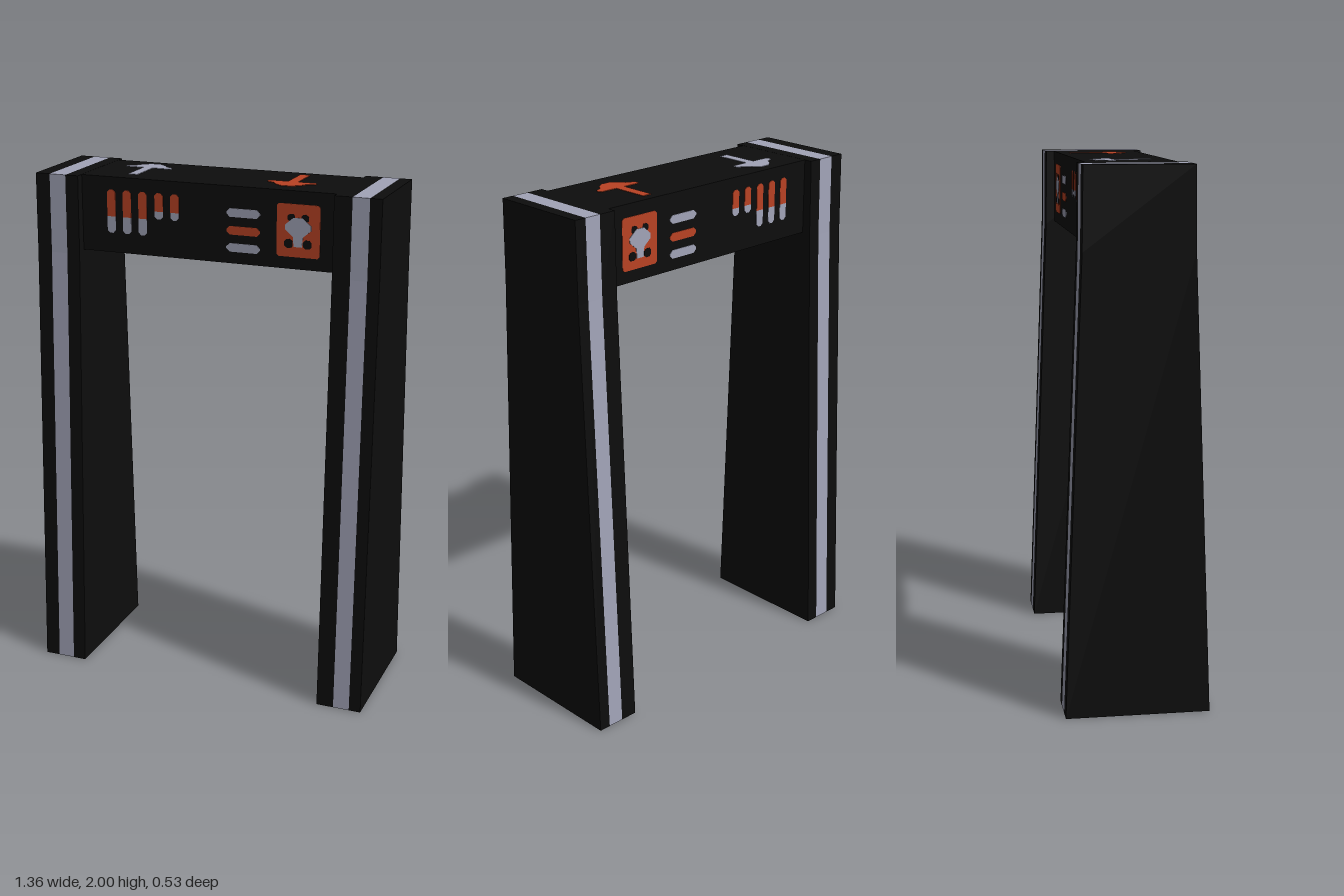
import * as THREE from 'three';

const mat = (name, color) => {
  const m = new THREE.MeshStandardMaterial({ color });
  m.name = name;
  return m;
};

export function createModel() {
  const black = mat('black casing', 0x0d0d0d);
  const silver = mat('silver', 0xa2a4b8);
  const orange = mat('orange', 0xba4224);
  const root = new THREE.Group();
  root.name = 'gate';

  const extrude = (pts, depth) => new THREE.ExtrudeGeometry(
    new THREE.Shape(pts.map(([x, y]) => new THREE.Vector2(x, y))), { depth, bevelEnabled: false });
  const add = (parent, name, geo, material) => {
    const mesh = new THREE.Mesh(geo, material);
    mesh.name = name;
    parent.add(mesh);
    return mesh;
  };

  // Tapered legs, each a sandwich of casing, stripe, casing
  const legProfile = [[-0.267, 0], [0.267, 0], [0.201, 1.7], [0.197, 2], [-0.197, 2], [-0.201, 1.7]];
  const leg = (name, edges) => {
    const group = new THREE.Group();
    group.name = name;
    ['outerCasing', 'stripe', 'innerCasing'].forEach((part, i) => {
      const geo = extrude(legProfile, edges[i + 1] - edges[i]).rotateY(Math.PI / 2);
      add(group, part, geo, i === 1 ? silver : black).position.x = edges[i];
    });
    root.add(group);
  };
  leg('rightLeg', [-0.68, -0.622, -0.556, -0.504]);
  leg('leftLeg', [0.502, 0.57, 0.634, 0.68]);

  // Overhead beam
  const halfDepth = 0.165;
  add(root, 'beam', new THREE.BoxGeometry(1.006, 0.288, halfDepth * 2), black).position.set(0, 1.856, 0);

  // Outline with separately cut corners: c = [top, bottom, sideways]
  const cutBox = (x0, x1, y0, y1, top, bottom) => [
    [x0 + bottom, y0], [x1 - bottom, y0], [x1, y0 + bottom], [x1, y1 - top],
    [x1 - top, y1], [x0 + top, y1], [x0, y1 - top], [x0, y0 + bottom]
  ].filter((p, i, a) => i === 0 || p[0] !== a[i - 1][0] || p[1] !== a[i - 1][1]);

  // Sign panels, repeated through the beam on front and back
  for (const side of [1, -1]) {
    const panel = new THREE.Group();
    panel.name = side > 0 ? 'frontSigns' : 'backSigns';
    root.add(panel);
    const plate = (name, pts, material, depth = 0.002) => {
      add(panel, name, extrude(pts, depth), material).position.z =
        side > 0 ? halfDepth : -halfDepth - depth;
    };

    // Two-colour level bars
    [-0.382, -0.318, -0.254, -0.188, -0.124].forEach((x, i) => {
      const [split, low] = i < 3 ? [1.85, 1.787] : [1.882, 1.853];
      const w = 0.017;
      plate('barTop', cutBox(x - w, x + w, split, 1.952, 0.01, 0), orange);
      plate('barBottom', cutBox(x - w, x + w, low, split, 0, 0.01), silver);
    });

    // Three horizontal dashes
    [[1.902, silver], [1.836, orange], [1.772, silver]].forEach(([y, m]) =>
      plate('dash', cutBox(0.082, 0.214, y - 0.016, y + 0.016, 0.013, 0.013), m));

    // Square sign with a simple emblem
    plate('signCard', cutBox(0.278, 0.443, 1.757, 1.952, 0.008, 0.008), orange);
    const cx = 0.36;
    for (const s of [-1, 1]) {
      const dot = (dx, y, r) => plate('signDot',
        cutBox(cx + s * dx - r, cx + s * dx + r, y - r, y + r, r * 0.5, r * 0.5), black, 0.003);
      dot(0.026, 1.901, 0.014);
      dot(0.036, 1.806, 0.016);
    }
    plate('signEmblem', [
      [-0.016, 1.795], [0.016, 1.795], [0.019, 1.832], [0.05, 1.858], [0.05, 1.875],
      [0.018, 1.902], [-0.018, 1.902], [-0.05, 1.875], [-0.05, 1.858], [-0.019, 1.832]
    ].map(([x, y]) => [cx + x, y]), silver, 0.004);
  }

  // Stepped direction arrows on top; half outline mirrored, tip towards +dir z
  const arrow = (name, x, base, dir, material) => {
    const half = [[0.019, -0.112], [0.019, base], [0.09, base], [0.096, base + 0.012],
      [0.09, base + 0.026], [0.062, base + 0.038], [0.05, base + 0.058], [0.02, 0.112]];
    const pts = [...half, ...half.map(([a, b]) => [-a, b]).reverse()];
    const geo = extrude(pts, 0.002).rotateX(Math.PI / 2);
    const mesh = add(root, name, geo, material);
    mesh.position.set(x, 2.002, -0.014);
    if (dir < 0) mesh.rotation.y = Math.PI;
  };
  arrow('backwardArrow', -0.323, 0.03, -1, silver);
  arrow('forwardArrow', 0.287, 0.03, 1, orange);

  return root;
}
